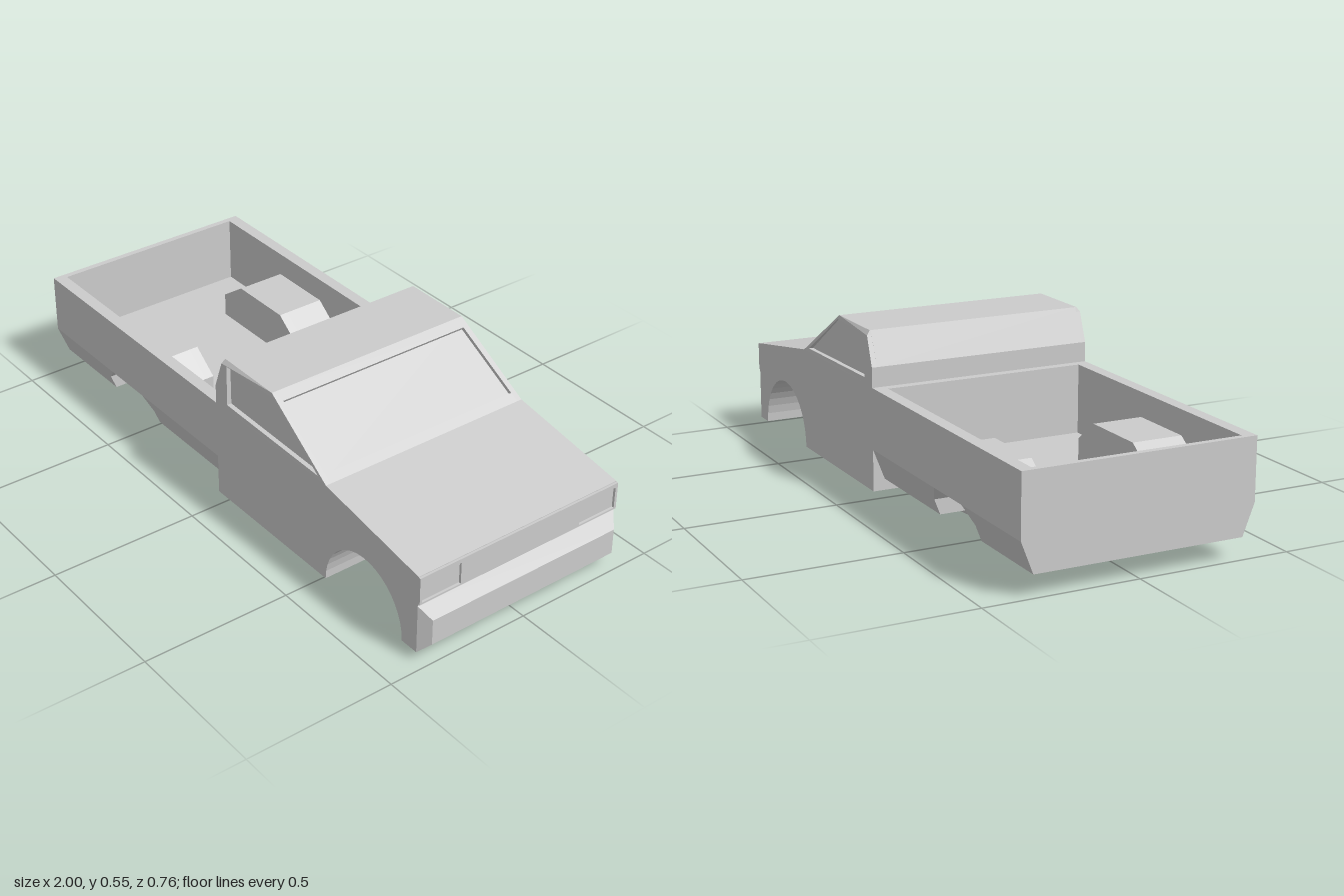
import * as THREE from 'three';

const material = new THREE.MeshStandardMaterial({ color: 0xcccccc, flatShading: true, side: THREE.DoubleSide });
const W = 0.381; // half width of the body

function toShape(points, holes = []) {
  const shape = new THREE.Shape(points.map(p => new THREE.Vector2(...p)));
  for (const h of holes) shape.holes.push(new THREE.Path(h.map(p => new THREE.Vector2(...p))));
  return shape;
}

// Apply a rule (vector changed in place) to every vertex
function reshape(geometry, rule) {
  const pos = geometry.attributes.position;
  const v = new THREE.Vector3();
  for (let i = 0; i < pos.count; i++) {
    v.fromBufferAttribute(pos, i);
    rule(v);
    pos.setXYZ(i, v.x, v.y, v.z);
  }
  geometry.computeVertexNormals();
  return geometry;
}

function rect(x0, y0, x1, y1) {
  return [[x0, y0], [x1, y0], [x1, y1], [x0, y1]];
}

export function createModel() {
  const truck = new THREE.Group();

  function add(name, geometry) {
    const mesh = new THREE.Mesh(geometry, material);
    mesh.name = name;
    truck.add(mesh);
  }

  // Side profile extruded from z0 to z1
  function slab(name, points, z0, z1, holes, rule) {
    const g = new THREE.ExtrudeGeometry(toShape(points, holes), { depth: z1 - z0, bevelEnabled: false });
    g.translate(0, 0, z0);
    if (rule) reshape(g, rule);
    add(name, g);
  }

  // The same slab on both sides; the rule sees and changes the distance from the middle
  function pair(name, points, z0, z1, holes, rule) {
    for (const s of [1, -1]) {
      const mirrored = rule && (v => { v.z *= s; rule(v); v.z *= s; });
      slab((s > 0 ? 'left' : 'right') + name, points, s > 0 ? z0 : -z1, s > 0 ? z1 : -z0, holes, mirrored);
    }
  }

  function box(name, x0, x1, y0, y1, z0, z1) {
    const g = new THREE.BoxGeometry(x1 - x0, y1 - y0, z1 - z0);
    g.translate((x0 + x1) / 2, (y0 + y1) / 2, (z0 + z1) / 2);
    add(name, g);
  }

  // Front body: solid middle, fenders with round wheel arches
  const upper = [[0.965, 0.033], [0.965, 0.304], [0.54, 0.373], [-0.02, 0.373], [-0.02, 0.033]];
  const arch = [];
  for (let i = 0; i <= 20; i++) {
    const a = Math.PI * (1 - i / 20);
    arch.push([0.72 + 0.18 * Math.cos(a), 0.033 + 0.187 * Math.sin(a)]);
  }
  slab('frontBody', upper, -0.17, 0.17);
  pair('Fender', [...arch, ...upper], 0.17, W);

  // Nose panel with recessed headlights
  const nose = new THREE.ExtrudeGeometry(
    toShape(rect(-W, 0.208, W, 0.302),
      [rect(0.23, 0.214, 0.372, 0.288), rect(-0.372, 0.214, -0.23, 0.288)]),
    { depth: 0.008, bevelEnabled: false });
  nose.rotateY(Math.PI / 2).translate(0.965, 0, 0);
  add('nosePanel', nose);

  // Bumper: block with its front face drawn in on all edges
  const bumper = new THREE.BoxGeometry(0.04, 0.167, 2 * W).translate(0.98, 0.1165, 0);
  add('frontBumper', reshape(bumper, v => {
    if (v.x < 0.98) {
      v.x = 0.965;
      return;
    }
    v.z = Math.sign(v.z) * 0.353;
    v.y = v.y > 0.1 ? 0.157 : 0.07;
  }));

  // Cab core holding the glass surfaces
  slab('cabCore', [[-0.02, 0.373], [0.517, 0.373], [0.2537, 0.5348], [0.26, 0.545], [0.02, 0.545], [-0.02, 0.435]],
    -0.365, 0.365);

  // Cab sides: upright at the back, leaning in at the roof edge and front pillar
  pair('CabSide', [[-0.02, 0.373], [0.54, 0.373], [0.26, 0.545], [0.02, 0.545], [0.015, 0.53], [-0.02, 0.435]],
    0.365, W, [[[0.04, 0.392], [0.5, 0.385], [0.27, 0.53], [0.04, 0.53]]], v => {
      if (v.z < 0.37) return;
      const forward = THREE.MathUtils.clamp(v.x / 0.27, 0, 1);
      v.z -= v.y > 0.54 ? 0.012 : 0.012 * forward * (v.y - 0.373) / 0.172;
    });

  // Windshield frame laid on the slope
  const length = Math.hypot(0.28, 0.172);
  const down = new THREE.Vector3(0.28, -0.172, 0).normalize();
  const out = new THREE.Vector3(0.172, 0.28, 0).normalize();
  const frame = new THREE.ExtrudeGeometry(
    toShape(rect(0, -0.365, length, 0.365), [[[0.037, -0.35], [0.296, -0.362], [0.296, 0.362], [0.037, 0.35]]]),
    { depth: 0.012, bevelEnabled: false });
  frame.applyMatrix4(new THREE.Matrix4().makeBasis(down, new THREE.Vector3(0, 0, -1), out));
  frame.translate(0.26 - out.x * 0.012, 0.545 - out.y * 0.012, 0);
  add('windshieldFrame', frame);

  // Cargo bed walls and floor
  box('leftBedWall', -1, -0.02, 0.17, 0.37, 0.34, W);
  box('rightBedWall', -1, -0.02, 0.17, 0.37, -W, -0.34);
  box('tailgate', -1, -0.98, 0.14, 0.37, -0.34, 0.34);
  box('bedFrontWall', -0.05, -0.02, 0.14, 0.37, -0.34, 0.34);
  box('bedFloor', -1, -0.02, 0.07, 0.14, -0.17, 0.17);

  // Wheel housings above the floor, wheel openings below
  const opening = [[-1, 0.07], [-0.69, 0.07], [-0.69, 0.12], [-0.64, 0.17],
    [-0.46, 0.17], [-0.42, 0.12], [-0.42, 0.07], [-0.02, 0.07]];
  const housing = [[-0.02, 0.14], [-0.35, 0.14], [-0.35, 0.22], [-0.44, 0.29],
    [-0.67, 0.29], [-0.77, 0.22], [-0.77, 0.14], [-1, 0.14]];
  pair('WheelHousing', [...opening, ...housing], 0.2, 0.34);

  // Closed inner side of each wheel well, leaning outward at the bottom
  pair('WheelWellWall', [[-1, 0.07], [-0.02, 0.07], ...housing], 0.17, 0.2, [], v => {
    if (v.z > 0.19 && v.y < 0.08) v.z = 0.24;
  });

  // Sills slope inward below the bed walls
  pair('BedSill', [...opening, [-0.02, 0.17], [-1, 0.17]], 0.34, W, [], v => {
    if (v.z > 0.35) v.z -= 0.39 * (0.17 - v.y);
  });

  // Underbody pan in tapered sections: x at top, x at bottom, bottom height, half width
  const stations = [[-0.85, -0.81, 0.035, 0.17], [-0.42, -0.42, 0.035, 0.17], [-0.36, -0.36, 0.031, 0.24],
    [0, 0, 0.006, 0.245], [0.2, 0.2, 0, 0.245], [0.45, 0.41, 0, 0.245], [0.54, 0.48, 0, 0.17], [0.9, 0.9, 0, 0.17]];
  for (let i = 0; i < stations.length - 1; i++) {
    add('underbodyPan' + (i + 1), reshape(new THREE.BoxGeometry(1, 1, 1), v => {
      const [xTop, xBottom, bottom, half] = stations[v.x < 0 ? i : i + 1];
      const low = v.y < 0;
      v.set(low ? xBottom : xTop, low ? bottom : 0.072, Math.sign(v.z) * half * (low && half > 0.2 ? 0.9 : 1));
    }));
  }

  return truck;
}
